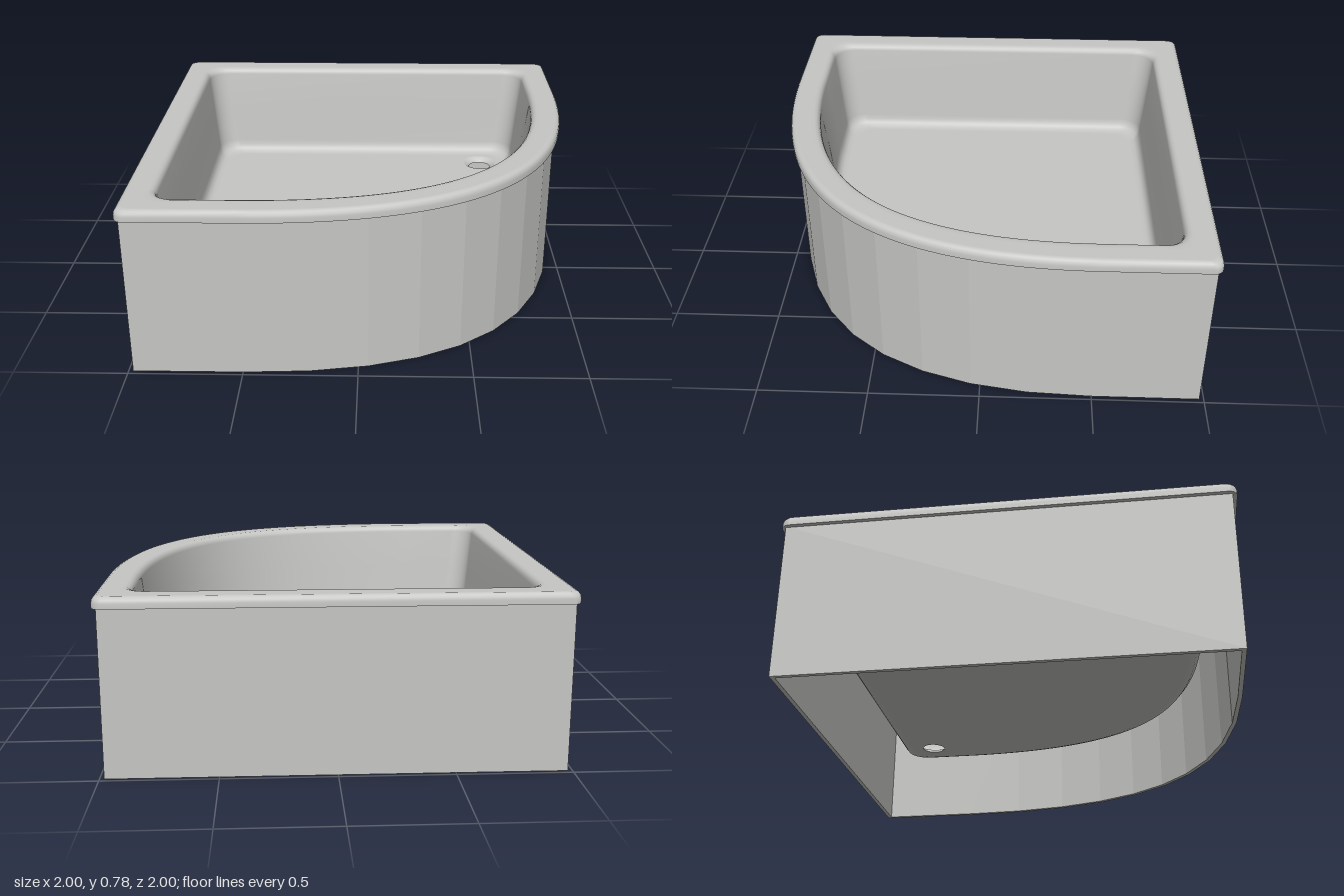
import * as THREE from 'three';

const FLOOR = 0.31, UNDER = 0.285;

// Plan outline (x, z): square with one wide bow corner, inset by d, corners of radius r.
function outline(d, r, cornerSegs = 8, bowSegs = 48) {
  const pts = [];
  const corner = (sx, sz, start) => {
    const cx = sx * (1 - d - r), cz = sz * (1 - d - r);
    for (let i = 0; i <= cornerSegs; i++) {
      const a = start + (cornerSegs ? i / cornerSegs : 0.5) * Math.PI / 2;
      const k = cornerSegs ? r : 0;
      pts.push(new THREE.Vector2(cx + k * Math.cos(a), cz + k * Math.sin(a)));
    }
  };
  const bow = new THREE.CubicBezierCurve(
    new THREE.Vector2(1, -0.5), new THREE.Vector2(1, 0.52),
    new THREE.Vector2(0.52, 1), new THREE.Vector2(-0.5, 1));
  corner(-1, -1, Math.PI);
  corner(1, -1, Math.PI * 1.5);
  for (let i = 0; i <= bowSegs; i++) {
    const p = bow.getPoint(i / bowSegs), t = bow.getTangent(i / bowSegs);
    pts.push(new THREE.Vector2(p.x - t.y * d, p.y + t.x * d));
  }
  corner(-1, 1, Math.PI / 2);
  return pts;
}

// Smooth band through rings given as [inset, height, corner radius].
function band(profile) {
  const pos = [], index = [];
  let n = 0;
  profile.forEach(([d, y, r]) => {
    const ring = outline(d, r);
    n = ring.length;
    ring.forEach(p => pos.push(p.x, y, p.y));
  });
  for (let i = 0; i < profile.length - 1; i++) {
    for (let j = 0; j < n; j++) {
      const k = (j + 1) % n;
      const a = i * n + j, b = i * n + k, c = a + n, e = b + n;
      index.push(a, c, b, b, c, e);
    }
  }
  const g = new THREE.BufferGeometry();
  g.setAttribute('position', new THREE.Float32BufferAttribute(pos, 3));
  g.setIndex(index);
  g.computeVertexNormals();
  return g;
}

// Upright slab with the given plan, from y0 to y1.
function slab(plan, hole, y0, y1) {
  const flip = pts => pts.map(p => new THREE.Vector2(p.x, -p.y));
  const shape = new THREE.Shape(flip(plan));
  shape.holes.push(new THREE.Path(flip(hole)));
  const g = new THREE.ExtrudeGeometry(shape, { depth: y1 - y0, bevelEnabled: false });
  return g.rotateX(-Math.PI / 2).translate(0, y0, 0);
}

export function createModel() {
  const group = new THREE.Group();
  const acrylic = new THREE.MeshStandardMaterial({ color: 0xc6c6c4, side: THREE.DoubleSide });
  acrylic.name = 'grey acrylic';
  const add = (name, geometry) => {
    const mesh = new THREE.Mesh(geometry, acrylic);
    mesh.name = name;
    group.add(mesh);
    return mesh;
  };

  // Coarsely faceted skirt, open at the bottom
  add('skirt', slab(outline(0.02, 0, 0, 10), outline(0.04, 0, 0, 10), 0, 0.735));

  // Rounded lip and flat rim
  add('rim', band([
    [0, 0.73, 0.04], [0, 0.752, 0.04], [0.003, 0.765, 0.04], [0.01, 0.775, 0.04],
    [0.022, 0.78, 0.04], [0.03, 0.78, 0.045], [0.09, 0.78, 0.08],
  ]));

  // Sloping basin wall with rounded top edge and foot
  add('basinWall', band([
    [0.09, 0.78, 0.08], [0.112, 0.78, 0.1], [0.126, 0.776, 0.1], [0.136, 0.766, 0.1],
    [0.142, 0.75, 0.1], [0.163, 0.56, 0.1], [0.184, 0.37, 0.1], [0.188, 0.345, 0.1],
    [0.198, 0.325, 0.1], [0.214, 0.314, 0.1], [0.235, FLOOR, 0.1], [0.25, FLOOR, 0.1],
  ]));

  // Hidden underside of the basin and of the rim
  add('basinUnderside', band([
    [0.25, UNDER, 0.1], [0.225, UNDER, 0.1], [0.195, 0.295, 0.1], [0.175, 0.32, 0.1],
    [0.165, 0.36, 0.1], [0.12, 0.73, 0.1],
  ]));
  add('rimUnderside', band([[0.12, 0.73, 0.1], [0, 0.73, 0.04]]));

  // Floor plate with the drain opening
  const drain = new THREE.Vector2(0.64, -0.65);
  const circle = [];
  for (let i = 0; i < 40; i++) {
    const a = i / 40 * Math.PI * 2;
    circle.push(new THREE.Vector2(drain.x + 0.088 * Math.sin(a), drain.y + 0.088 * Math.cos(a)));
  }
  add('basinFloor', slab(outline(0.25, 0.1), circle, UNDER, FLOOR));

  // Dished drain ring around the open hole
  const dish = [[0.058, UNDER], [0.059, 0.29], [0.066, 0.297], [0.078, 0.305], [0.088, FLOOR]];
  const ring = add('drainRing', new THREE.LatheGeometry(dish.map(p => new THREE.Vector2(...p)), 40));
  ring.position.set(drain.x, 0, drain.y);
  const seat = add('drainUnderside', new THREE.RingGeometry(0.058, 0.088, 40).rotateX(Math.PI / 2));
  seat.position.set(drain.x, UNDER, drain.y);

  return group;
}
